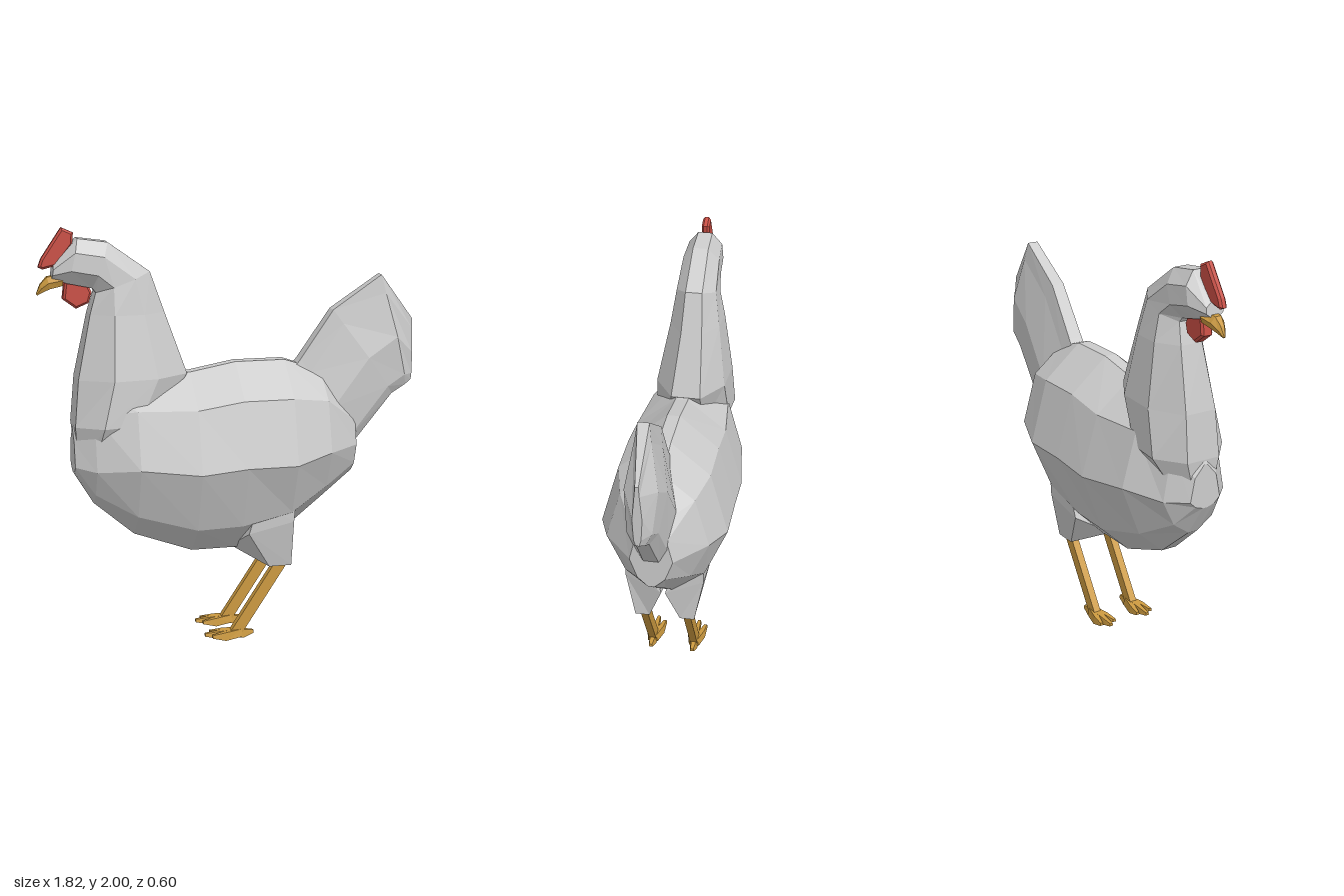
import * as THREE from 'three';

const material = (color) => new THREE.MeshStandardMaterial({ color, flatShading: true });
const grey = material(0xcccccc);
const red = material(0xc94f45);
const gold = material(0xcc9a40);

// Skin a list of equal-length rings of [x, y, z] and cap both ends; faces always point outward.
function loft(name, rings, mat) {
  const n = rings[0].length;
  const tris = [];
  for (let i = 0; i < rings.length - 1; i++) {
    for (let j = 0; j < n; j++) {
      const k = (j + 1) % n;
      const a = rings[i][j], b = rings[i][k], c = rings[i + 1][k], d = rings[i + 1][j];
      tris.push([a, b, c], [a, c, d]);
    }
  }
  const last = rings[rings.length - 1];
  for (let j = 1; j < n - 1; j++) {
    tris.push([rings[0][0], rings[0][j + 1], rings[0][j]], [last[0], last[j], last[j + 1]]);
  }
  const v = (p) => new THREE.Vector3(...p);
  const volume = tris.reduce((s, [a, b, c]) => s + v(a).dot(v(b).cross(v(c))), 0);
  if (volume < 0) tris.forEach((t) => t.reverse());
  const geo = new THREE.BufferGeometry();
  geo.setAttribute('position', new THREE.Float32BufferAttribute(tris.flat(2), 3));
  geo.computeVertexNormals();
  const mesh = new THREE.Mesh(geo, mat);
  mesh.name = name;
  return mesh;
}

// Ring spanning point p to point q in the xy plane; profile lists [position along p-q, share of half width].
function spanRing([px, py, qx, qy, w, cz = 0], profile) {
  const at = (t, s) => [px + (qx - px) * t, py + (qy - py) * t, cz + w * s];
  return [...profile.map(([t, s]) => at(t, s)), ...profile.map(([t, s]) => at(t, -s)).reverse()];
}

// Flat outline with bevelled edges, centred on z
function plate(name, outline, thickness, z, mat) {
  const bevel = 0.01;
  const geo = new THREE.ExtrudeGeometry(new THREE.Shape(outline.map((p) => new THREE.Vector2(...p))), {
    depth: thickness - 2 * bevel, bevelSize: bevel, bevelThickness: bevel, bevelOffset: -bevel, bevelSegments: 1,
  });
  geo.translate(0, 0, z - thickness / 2 + bevel);
  const mesh = new THREE.Mesh(geo, mat);
  mesh.name = name;
  return mesh;
}

// Rectangle in a horizontal plane
const rect = (x0, x1, y, z0, z1) => [[x0, y, z0], [x1, y, z0], [x1, y, z1], [x0, y, z1]];

function createLeg(side) {
  const leg = new THREE.Group();
  leg.name = side > 0 ? 'leftLeg' : 'rightLeg';
  const z = 0.106;
  const add = (name, rings, mat) =>
    leg.add(loft(name, rings.map((r) => r.map(([x, y, pz]) => [x, y, pz * side])), mat));
  // Feathered thigh
  add('thigh', [
    rect(0.16, 0.27, 0.36, 0.075, 0.145),
    [[0.0, 0.44, 0.01], [0.31, 0.53, 0.01], [0.27, 0.59, 0.19], [0.05, 0.54, 0.185]],
    rect(0.1, 0.28, 0.7, 0.05, 0.19),
  ], grey);
  // Slanted shank
  add('shank', [rect(-0.03, 0.035, 0.03, z - 0.018, z + 0.018), rect(0.2, 0.265, 0.38, z - 0.018, z + 0.018)], gold);
  // Three front toes and a hind toe
  for (const [name, tip, spread] of [['innerToe', -0.12, -0.037], ['middleToe', -0.15, 0],
    ['outerToe', -0.12, 0.037], ['hindToe', 0.09, 0]]) {
    const cross = (x, c, w, y0, y1) => [[x, y0, c - w], [x, y1, c - w * 0.7], [x, y1, c + w * 0.7], [x, y0, c + w]];
    const root = tip < 0 ? 0.03 : -0.02;
    add(name, [cross(root, z, 0.025, 0.008, 0.045), cross(tip * 0.45, z + spread * 0.7, 0.018, 0, 0.04),
      cross(tip, z + spread, 0.01, 0.018, 0.032)], gold);
  }
  return leg;
}

export function createModel() {
  const hen = new THREE.Group();
  hen.name = 'hen';

  // Body: [x, bottom, widest height, top, half width]
  const body = [
    [-0.76, 0.85, 0.89, 1.06, 0.08], [-0.67, 0.7, 0.88, 1.27, 0.165], [-0.48, 0.54, 0.9, 1.3, 0.26],
    [-0.2, 0.44, 0.87, 1.31, 0.3], [0.02, 0.44, 0.89, 1.35, 0.3], [0.26, 0.52, 0.89, 1.35, 0.3],
    [0.44, 0.66, 0.93, 1.29, 0.24], [0.605, 0.785, 0.93, 1.1, 0.1],
  ].map(([x, bottom, mid, top, w]) => {
    const half = [[top, 0.1], [mid + (top - mid) * 0.66, 0.72], [mid, 1], [bottom + (mid - bottom) * 0.32, 0.64], [bottom, 0.15]];
    return [...half.map(([y, s]) => [x, y, w * s]), ...half.map(([y, s]) => [x, y, -w * s]).reverse()];
  });
  hen.add(loft('body', body, grey));

  // Neck and head: [front x, y, back x, y, half width, centre z]
  const neckProfile = [[0, 0.45], [0.3, 1], [0.7, 0.95], [1, 0.4]];
  const neck = [
    [-0.74, 0.9, -0.5, 0.95, 0.1, 0], [-0.755, 1.08, -0.35, 1.1, 0.19, -0.01], [-0.735, 1.3, -0.22, 1.31, 0.175, -0.015],
    [-0.67, 1.6, -0.32, 1.6, 0.125, -0.025], [-0.64, 1.7, -0.385, 1.79, 0.1, -0.025],
    [-0.655, 1.72, -0.58, 1.93, 0.092, -0.025], [-0.77, 1.745, -0.72, 1.95, 0.085, -0.025],
    [-0.84, 1.765, -0.83, 1.83, 0.045, -0.025],
  ].map((r) => spanRing(r, neckProfile));
  hen.add(loft('neckAndHead', neck, grey));

  // Upright tail fan
  const tailProfile = [[0, 0.35], [0.16, 0.5], [0.55, 1], [0.9, 0.75], [1, 0.35]];
  const tail = [
    [0.22, 1.2, 0.42, 0.85, 0.12], [0.34, 1.35, 0.61, 0.93, 0.1], [0.5, 1.58, 0.8, 1.16, 0.09],
    [0.74, 1.74, 0.87, 1.2, 0.075], [0.905, 1.52, 0.905, 1.22, 0.022],
  ].map((r) => spanRing(r, tailProfile));
  hen.add(loft('tail', tail, grey));

  // Hooked beak
  const beakProfile = [[0, 0.8], [0.5, 1], [1, 0.45]];
  const beak = [
    [-0.79, 1.735, -0.79, 1.785, 0.045, -0.025], [-0.85, 1.72, -0.86, 1.775, 0.035, -0.025],
    [-0.88, 1.705, -0.892, 1.74, 0.02, -0.025], [-0.905, 1.69, -0.91, 1.697, 0.006, -0.025],
  ].map((r) => spanRing(r, beakProfile));
  hen.add(loft('beak', beak, gold));

  // Comb and wattle
  hen.add(plate('comb', [[-0.9, 1.82], [-0.885, 1.86], [-0.79, 2], [-0.735, 1.975], [-0.74, 1.92], [-0.815, 1.825], [-0.88, 1.81]], 0.038, -0.022, red));
  hen.add(plate('wattle', [[-0.78, 1.75], [-0.79, 1.67], [-0.73, 1.625], [-0.67, 1.65], [-0.655, 1.7], [-0.68, 1.75]], 0.06, -0.025, red));

  hen.add(createLeg(1), createLeg(-1));
  return hen;
}
